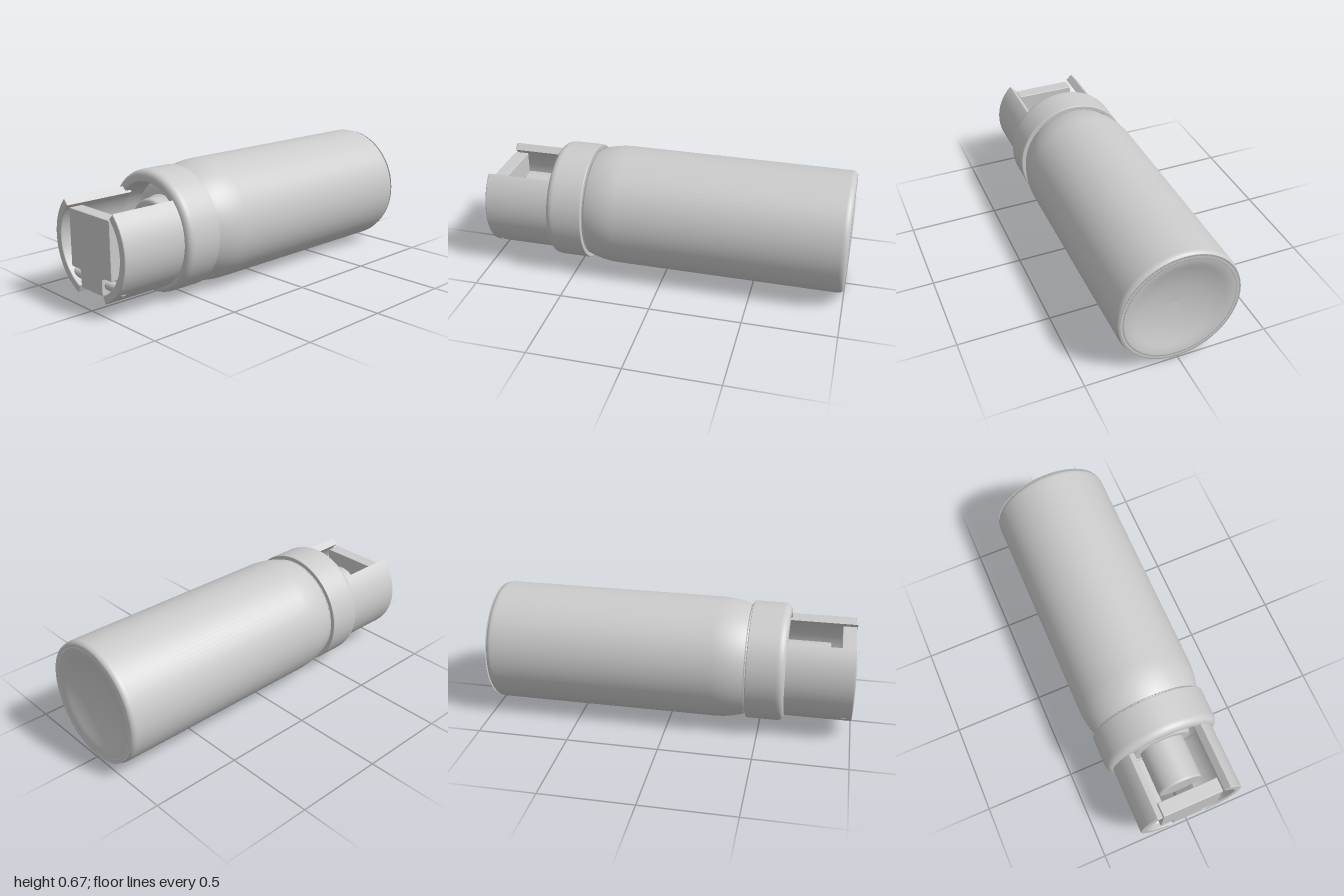
import * as THREE from 'three';

const AXIS_Y = 0.333; // height of the can's long axis
const grey = new THREE.MeshStandardMaterial({ color: 0xcccccc });

function add(parent, name, geometry) {
  const mesh = new THREE.Mesh(geometry, grey);
  mesh.name = name;
  parent.add(mesh);
  return mesh;
}

// Points [a, b, fillet] to a path whose corners are rounded by the fillet size
function roundedPath(points, path = new THREE.Path(), closed = false) {
  const n = points.length;
  const v = points.map(([a, b]) => new THREE.Vector2(a, b));
  points.forEach(([a, b, f = 0], i) => {
    const isEnd = !closed && (i === 0 || i === n - 1);
    const before = v[(i + n - 1) % n], after = v[(i + 1) % n];
    const toward = (p) => v[i].clone().add(p.clone().sub(v[i]).setLength(f));
    const start = isEnd || !f ? v[i] : toward(before);
    if (i === 0) path.moveTo(start.x, start.y);
    else path.lineTo(start.x, start.y);
    if (!isEnd && f) {
      const end = toward(after);
      path.quadraticCurveTo(a, b, end.x, end.y);
    }
  });
  if (closed) path.closePath();
  return path;
}

// Revolve a [radius, z, fillet] profile about the z axis
function turned(points, segments = 96) {
  const g = new THREE.LatheGeometry(roundedPath(points).getPoints(8), segments);
  return g.rotateX(Math.PI / 2);
}

// Extrude from z0 to z1 with small bevels kept inside the outline
function slab(shape, z0, z1, bevel) {
  const g = new THREE.ExtrudeGeometry(shape, {
    depth: z1 - z0 - 2 * bevel, bevelThickness: bevel, bevelSize: bevel,
    bevelOffset: -bevel, bevelSegments: 3, curveSegments: 40,
  });
  return g.translate(0, 0, z0 + bevel);
}

export function createModel() {
  const model = new THREE.Group();
  model.name = 'sprayCan';
  const can = new THREE.Group();
  can.name = 'can';
  can.position.y = AXIS_Y;
  model.add(can);

  // Bottle with hollowed base, rounded shoulder and domed top
  add(can, 'bottle', turned([
    [0, -0.945], [0.16, -0.955, 0.1], [0.285, -1, 0.04], [0.333, -1, 0.035],
    [0.333, 0.36, 0.11], [0.295, 0.445, 0.03], [0.24, 0.53, 0.06], [0, 0.56],
  ]));

  // Valve cup and stem
  add(can, 'valveCup', turned([
    [0.19, 0.52], [0.172, 0.56, 0.02], [0.172, 0.62, 0.025], [0.11, 0.62],
  ], 64));
  add(can, 'valveStem', turned([
    [0.125, 0.56], [0.125, 0.86, 0.012], [0, 0.86],
  ], 64));

  // Collar ring clamped round the shoulder
  add(can, 'collar', turned([
    [0.255, 0.43], [0.325, 0.43, 0.006], [0.325, 0.637, 0.045],
    [0.262, 0.637, 0.01], [0.255, 0.5], [0.255, 0.43],
  ]));

  // Two curved guards, mirrored left and right
  const from = THREE.MathUtils.degToRad(-66.5);
  const to = THREE.MathUtils.degToRad(45.5);
  for (const [name, side] of [['leftGuard', 1], ['rightGuard', -1]]) {
    const a0 = side > 0 ? from : Math.PI - to;
    const a1 = side > 0 ? to : Math.PI - from;
    const arc = new THREE.Shape();
    arc.absarc(0, 0, 0.291, a0, a1, false);
    arc.absarc(0, 0, 0.247, a1, a0, true);
    arc.closePath();
    add(can, name, slab(arc, 0.6, 1, 0.007));
  }

  // Trigger plate with a narrower hinge tab below
  const half = [[0.168, 0.5, 0.006], [0.168, 0.194, 0.006], [0.09, 0.194, 0.016], [0.09, 0.1, 0.006]];
  const mirrored = half.map(([x, y, f]) => [-x, y, f]).reverse();
  const outline = roundedPath([...half, ...mirrored], new THREE.Shape(), true);
  add(model, 'triggerPlate', slab(outline, 0.917, 0.995, 0.004));

  // Hinge pin between the guards
  const pin = add(model, 'hingePin', new THREE.CylinderGeometry(0.025, 0.025, 0.42, 32));
  pin.rotation.z = Math.PI / 2;
  pin.position.set(0, 0.15, 0.955);

  // Hollow nozzle pointing down from the stem
  const nozzle = add(model, 'nozzle', turned([
    [0.045, -0.16], [0.045, 0, 0.006], [0.024, 0, 0.004], [0.024, -0.06, 0.004], [0, -0.06],
  ], 40));
  nozzle.rotation.x = Math.PI / 2;
  nozzle.position.set(0, 0.07, 0.79);

  return model;
}
